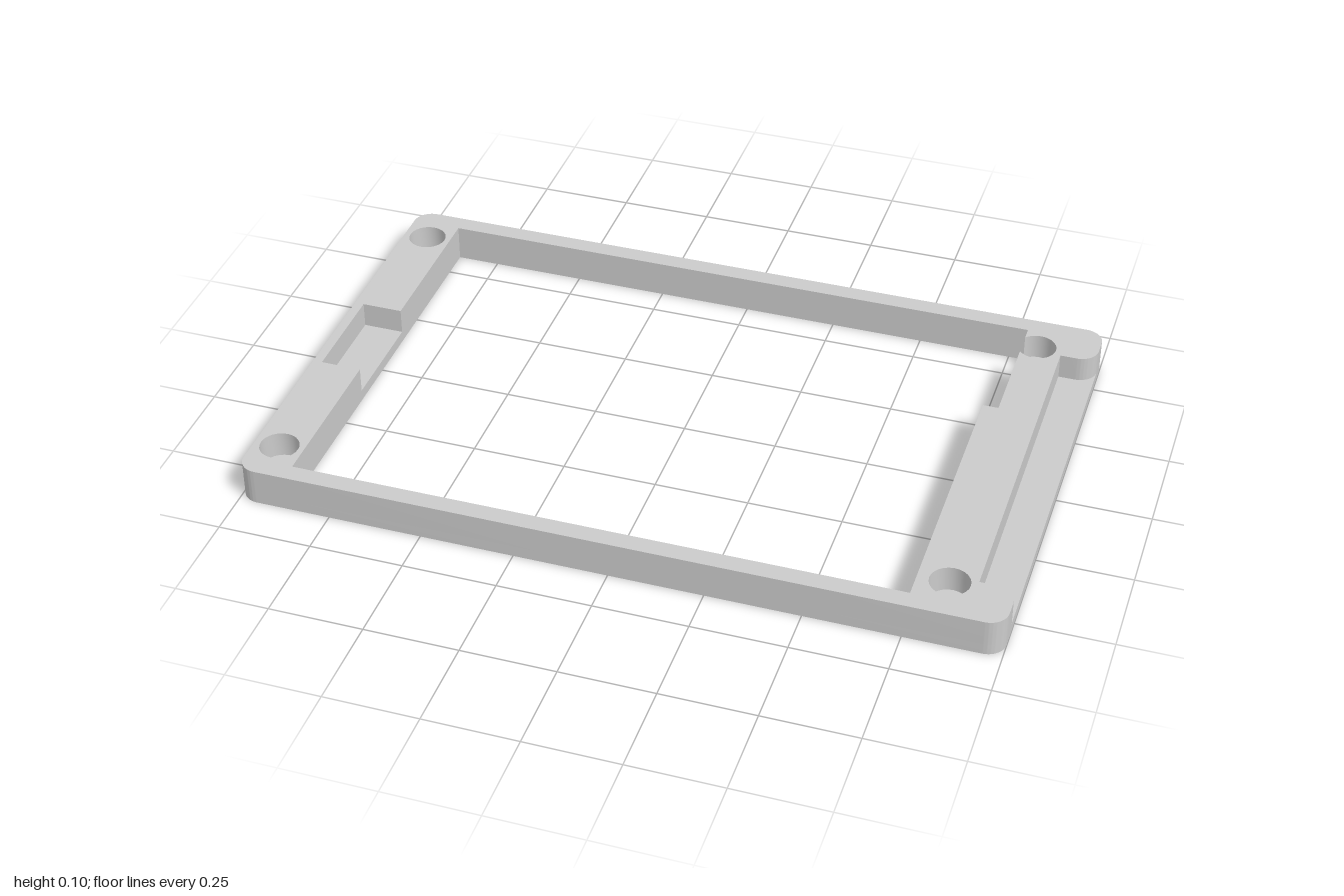
import * as THREE from 'three';
import { toCreasedNormals } from 'three/addons/utils/BufferGeometryUtils.js';

const W = 1, D = 0.63, R = 0.05;      // half width, half depth, corner radius
const FLOOR = 0.03, TOP = 0.1;
const HOLE_R = 0.052, HOLE_Z = 0.51;
const INNER = { left: -0.865, front: 0.58, back: -0.58, wide: 0.755, narrow: 0.797, stepZ: -0.21 };

// Shapes are drawn in plan (x, z) and extruded between two heights
function slab(shape, y0, y1, name) {
  const geo = new THREE.ExtrudeGeometry(shape, { depth: y1 - y0, bevelEnabled: false, curveSegments: 12 });
  geo.rotateX(Math.PI / 2).translate(0, y1, 0);
  const mesh = new THREE.Mesh(toCreasedNormals(geo, 0.6), new THREE.MeshStandardMaterial({ color: 0xcccccc }));
  mesh.name = name;
  return mesh;
}

// Outer outline; with a recess it steps in along the right edge between two rounded tabs
function outline(recessed) {
  const s = new THREE.Shape();
  s.moveTo(-W + R, -D);
  s.lineTo(W - R, -D);
  s.absarc(W - R, -D + R, R, -Math.PI / 2, 0, false);
  if (recessed) {
    const zr = 0.49, xr = 0.905;
    s.lineTo(W, -zr - R);
    s.absarc(W - R, -zr - R, R, 0, Math.PI / 2, false);
    s.lineTo(xr, -zr);
    s.lineTo(xr, zr);
    s.lineTo(W - R, zr);
    s.absarc(W - R, zr + R, R, -Math.PI / 2, 0, false);
  }
  s.lineTo(W, D - R);
  s.absarc(W - R, D - R, R, 0, Math.PI / 2, false);
  s.lineTo(-W + R, D);
  s.absarc(-W + R, D - R, R, Math.PI / 2, Math.PI, false);
  s.lineTo(-W, -D + R);
  s.absarc(-W + R, -D + R, R, Math.PI, Math.PI * 1.5, false);
  return s;
}

// Central opening; the upper layer adds the left pocket and the hole that breaks the right wall
function opening(upper) {
  const { left, front, back, wide, narrow, stepZ } = INNER;
  const p = new THREE.Path();
  p.moveTo(left, back);
  if (upper) {
    for (const [x, z] of [[left, -0.145], [-0.975, -0.145], [-0.975, 0.14], [left, 0.14]]) p.lineTo(x, z);
  }
  p.lineTo(left, front);
  p.lineTo(wide, front);
  p.lineTo(wide, stepZ);
  p.lineTo(narrow, stepZ);
  if (upper) {
    const cx = 0.837, a = Math.acos((narrow - cx) / HOLE_R);
    p.lineTo(narrow, -HOLE_Z + HOLE_R * Math.sin(a));
    p.absarc(cx, -HOLE_Z, HOLE_R, a, -a, true);
  }
  p.lineTo(narrow, back);
  p.closePath();
  return p;
}

export function createModel() {
  const model = new THREE.Group();
  model.name = 'frame';

  // Thin bottom plate closes the holes, pocket and recess from below
  const base = outline(false);
  base.holes.push(opening(false));
  model.add(slab(base, 0, FLOOR, 'basePlate'));

  // Upper rim with blind round holes in the corners
  const rim = outline(true);
  rim.holes.push(opening(true));
  for (const [x, z] of [[-0.932, -HOLE_Z], [-0.932, HOLE_Z], [0.837, HOLE_Z]]) {
    rim.holes.push(new THREE.Path().absarc(x, z, HOLE_R, 0, Math.PI * 2, true));
  }
  model.add(slab(rim, FLOOR, TOP, 'upperRim'));
  return model;
}
